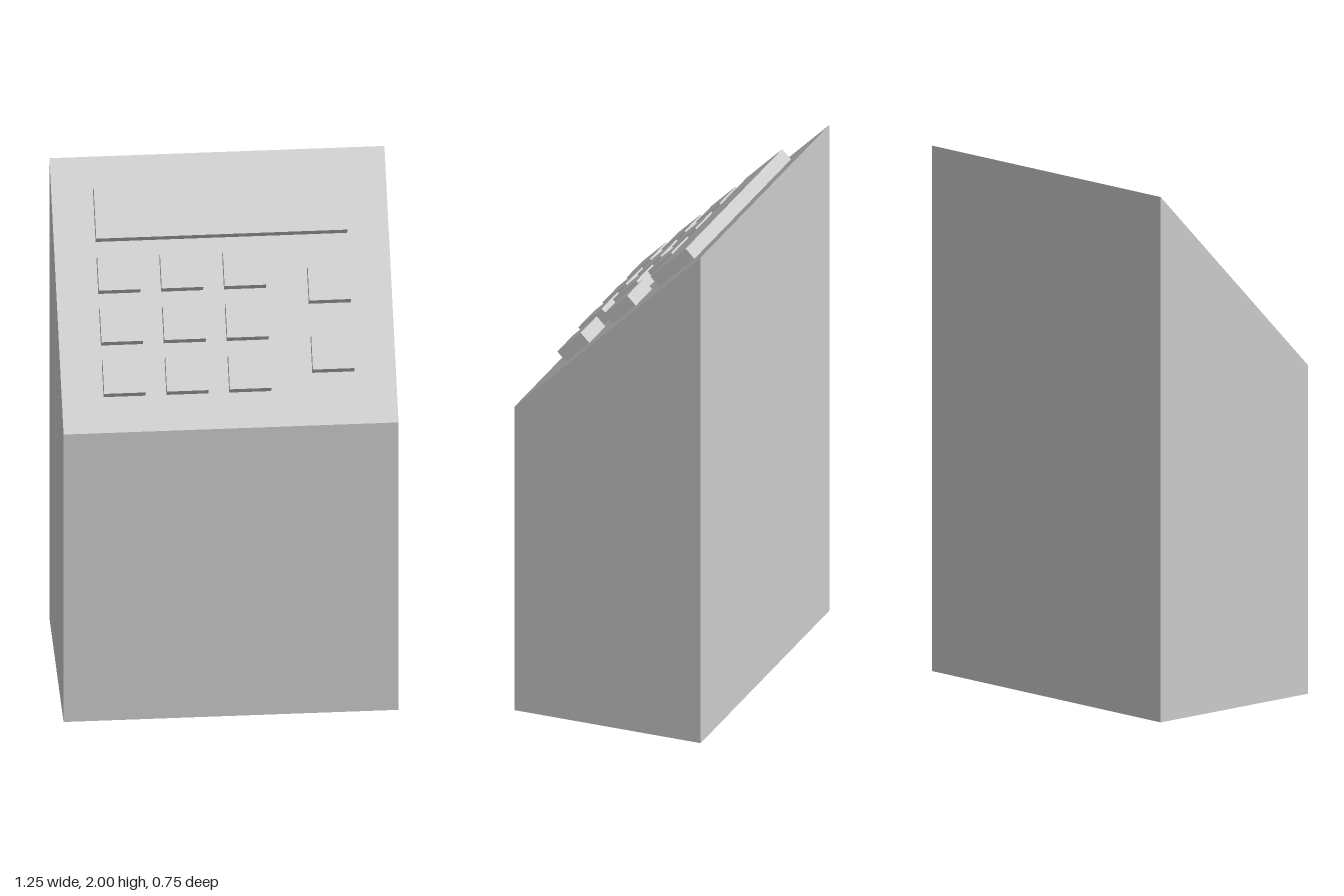
import * as THREE from 'three';

const WIDTH = 1.25, DEPTH = 0.75, FRONT_HEIGHT = 1.25, BACK_HEIGHT = 2;
const RAISE = 0.05; // how far keys and display stand off the sloped panel

export function createModel() {
  const model = new THREE.Group();
  model.name = 'keypadConsole';
  const material = new THREE.MeshStandardMaterial({ color: 0xcccccc, flatShading: true });

  // Cabinet: side outline (shape x = -z) extruded across the width
  const outline = new THREE.Shape([
    new THREE.Vector2(-DEPTH / 2, 0),
    new THREE.Vector2(DEPTH / 2, 0),
    new THREE.Vector2(DEPTH / 2, BACK_HEIGHT),
    new THREE.Vector2(-DEPTH / 2, FRONT_HEIGHT),
  ]);
  const cabinetGeometry = new THREE.ExtrudeGeometry(outline, { depth: WIDTH, bevelEnabled: false });
  cabinetGeometry.translate(0, 0, -WIDTH / 2).rotateY(Math.PI / 2);
  const cabinet = new THREE.Mesh(cabinetGeometry, material);
  cabinet.name = 'cabinet';
  model.add(cabinet);

  // Panel frame: local y is the slope's normal, local z runs down the slope
  const panel = new THREE.Group();
  panel.name = 'controlPanel';
  panel.position.y = (FRONT_HEIGHT + BACK_HEIGHT) / 2;
  panel.rotation.x = Math.atan2(BACK_HEIGHT - FRONT_HEIGHT, DEPTH);
  model.add(panel);

  const addBlock = (name, x, z, width, length) => {
    const block = new THREE.Mesh(new THREE.BoxGeometry(width, RAISE, length), material);
    block.name = name;
    block.position.set(x, RAISE / 2, z);
    panel.add(block);
  };

  // Display bar
  addBlock('display', 0, -0.303, 0.938, 0.2);

  // Three by three number keys
  for (let row = 0; row < 3; row++) {
    for (let col = 0; col < 3; col++) {
      addBlock(`numberKey${row * 3 + col + 1}`, -0.391 + col * 0.2345, -0.07 + row * 0.198, 0.156, 0.133);
    }
  }

  // Two function keys on the model's left
  [-0.003, 0.262].forEach((z, i) => addBlock(`functionKey${i + 1}`, 0.391, z, 0.156, 0.133));

  return model;
}
